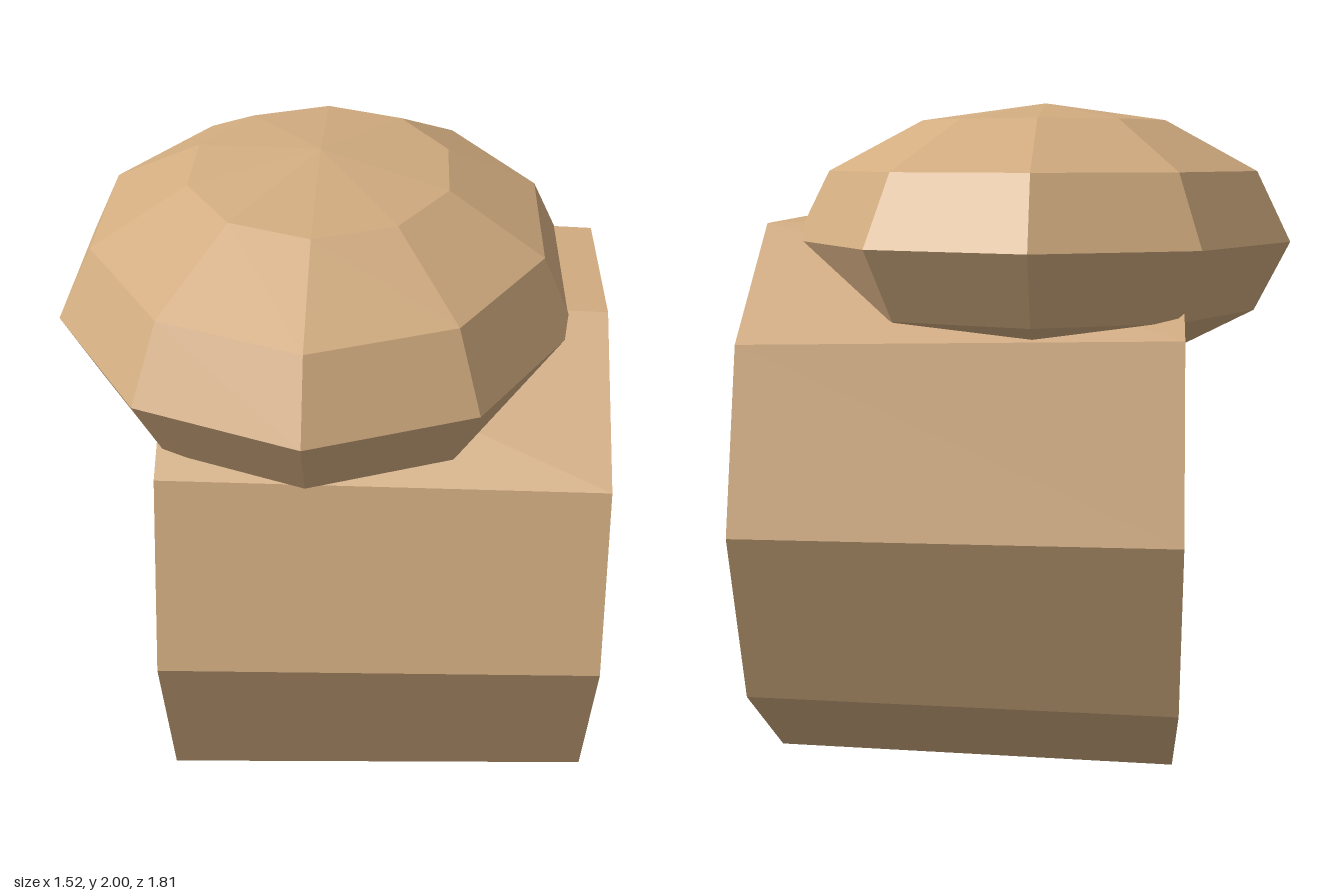
import * as THREE from 'three';

const SIDES = 10;

// Split shared vertices so every facet is flat
function faceted(geometry) {
  const g = geometry.toNonIndexed();
  g.computeVertexNormals();
  return g;
}

export function createModel() {
  const model = new THREE.Group();
  model.name = 'cappedDrum';

  const tan = new THREE.MeshStandardMaterial({ color: 0xd2ac80 });
  tan.name = 'tan';

  function addPart(name, geometry, x, y) {
    const mesh = new THREE.Mesh(faceted(geometry), tan);
    mesh.name = name;
    mesh.position.set(x, y, 0);
    model.add(mesh);
  }

  // Ten-sided drum lying along x, slightly narrower at its left end (+x)
  const drum = new THREE.CylinderGeometry(0.848, 0.885, 1.21, SIDES);
  drum.rotateZ(-Math.PI / 2);
  addPart('drum', drum, 0.155, 0.842);

  // Flattened faceted ball sunk into the top of the drum, corners on the z axis
  const cap = new THREE.SphereGeometry(1, SIDES, 6, Math.PI / 2);
  cap.scale(0.755, 0.4, 0.907);
  addPart('cap', cap, -0.045, 1.6);

  return model;
}
